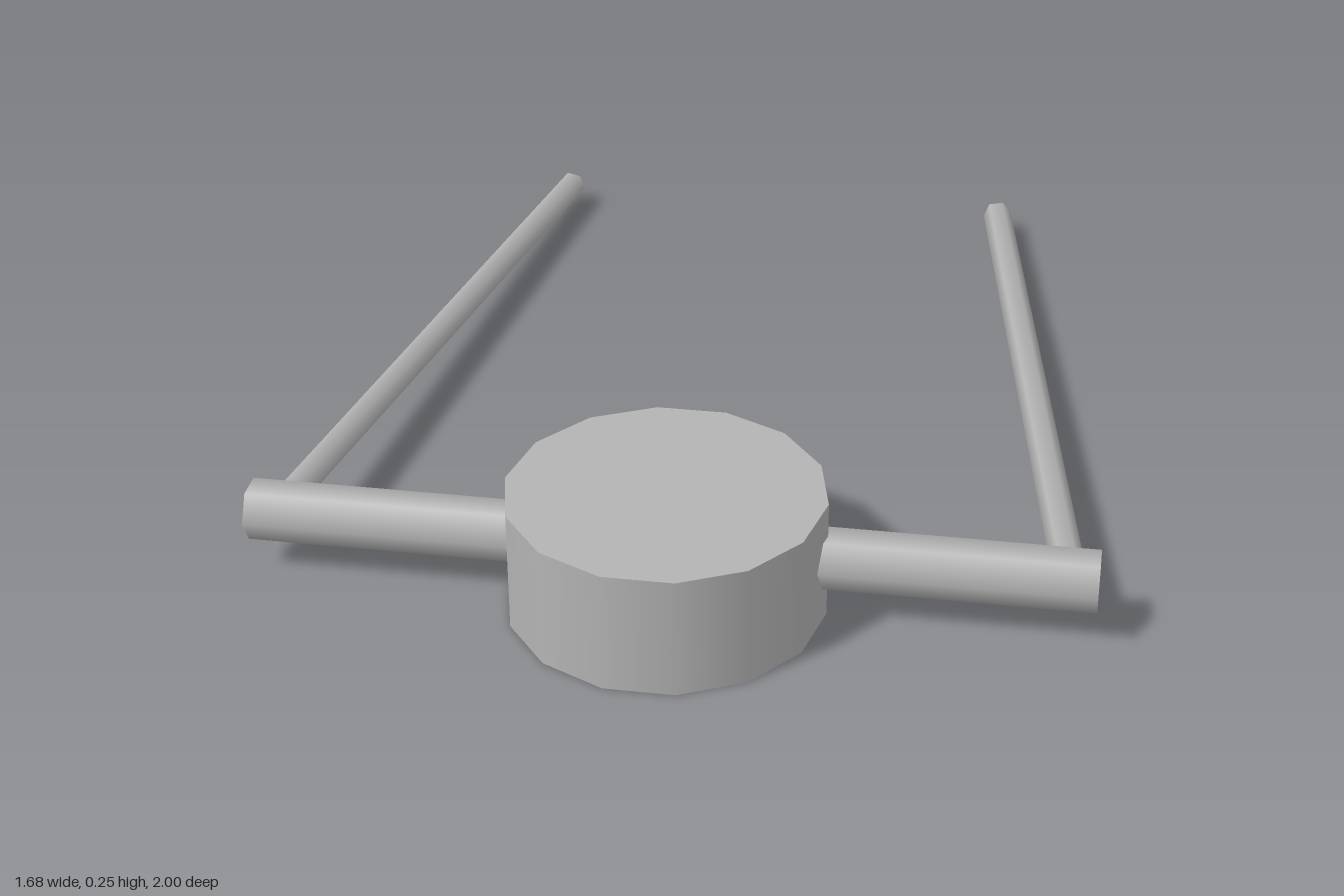
import * as THREE from 'three';

export function createModel() {
  const model = new THREE.Group();
  const grey = new THREE.MeshStandardMaterial({ color: 0xb3b3b3 });
  grey.name = 'plain grey';
  grey.side = THREE.DoubleSide; // the rods are open tubes

  const axleY = 0.128, axleZ = 0.687;

  function add(name, geometry) {
    const mesh = new THREE.Mesh(geometry, grey);
    mesh.name = name;
    model.add(mesh);
    return mesh;
  }

  // Fourteen-sided drum with corners on the x axis
  add('drum', new THREE.CylinderGeometry(0.317, 0.317, 0.253, 14, 1, false, Math.PI / 2))
    .position.set(0, 0.1265, 0.69);

  for (const side of [1, -1]) {
    // Hexagonal arm sticking out of the drum, corners pointing to front and back
    const arm = add(side > 0 ? 'leftArm' : 'rightArm',
      new THREE.CylinderGeometry(0.061, 0.061, 0.59, 6));
    arm.rotation.z = -side * Math.PI / 2;
    arm.position.set(side * 0.545, axleY, axleZ);

    // Thin open rod running back and slightly down from the end of the arm
    const start = new THREE.Vector3(side * 0.78, 0.13, 0.66);
    const end = new THREE.Vector3(side * 0.532, 0.054, -0.995);
    const rod = add(side > 0 ? 'leftRod' : 'rightRod',
      new THREE.CylinderGeometry(0.033, 0.033, start.distanceTo(end), 6, 1, true, Math.PI / 2));
    rod.position.copy(start).lerp(end, 0.5);
    rod.quaternion.setFromUnitVectors(new THREE.Vector3(0, 1, 0), end.sub(start).normalize());
  }

  return model;
}
